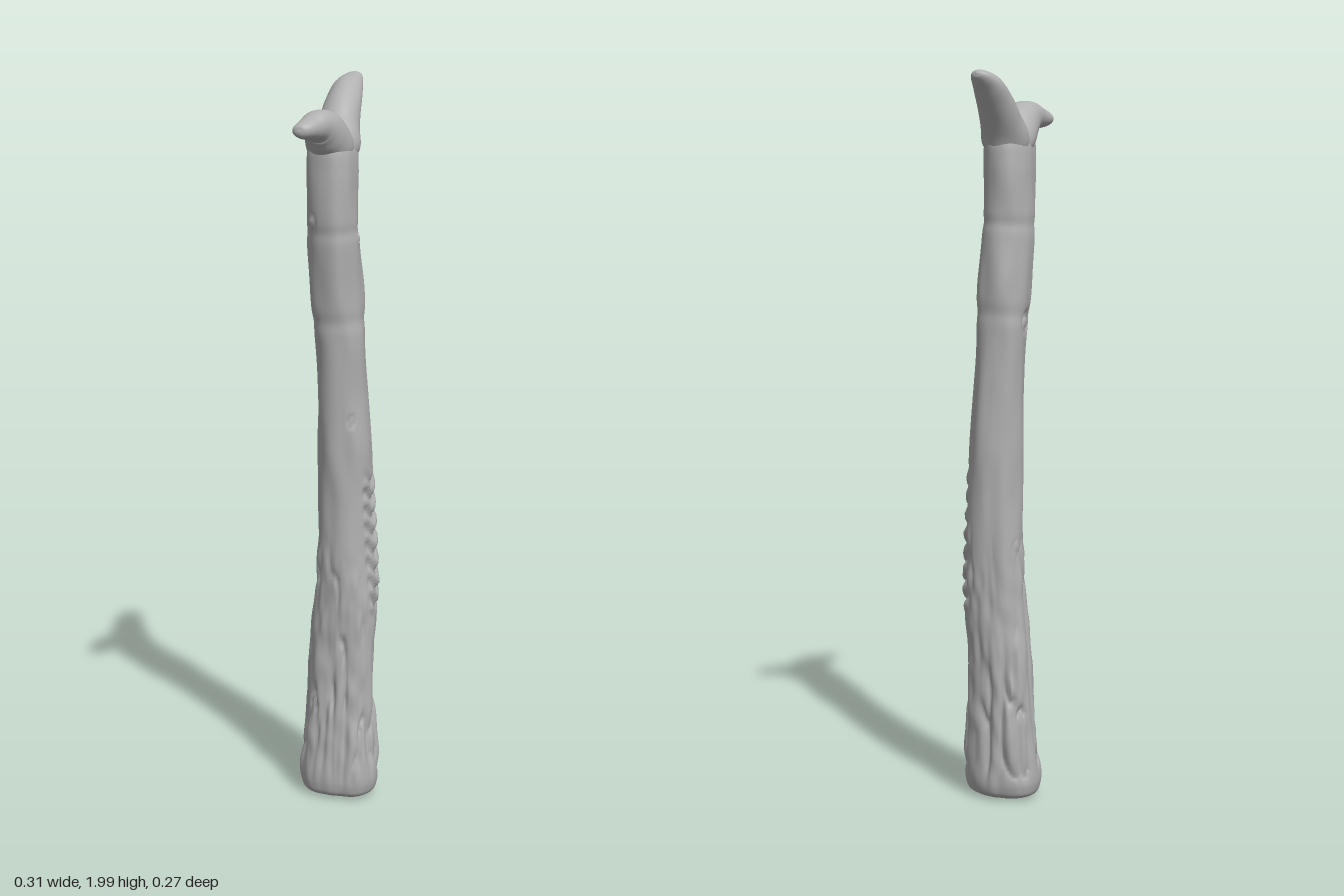
import * as THREE from 'three';

// Smooth repeatable value noise in 0..1
function hash(x, y, z) {
  const s = Math.sin(x * 127.1 + y * 311.7 + z * 74.7) * 43758.5453;
  return s - Math.floor(s);
}
function noise(x, y, z) {
  const [i, j, k] = [x, y, z].map(Math.floor);
  const [a, b, c] = [x - i, y - j, z - k].map((t) => t * t * (3 - 2 * t));
  const mix = THREE.MathUtils.lerp;
  const row = (dy, dz) => mix(hash(i, j + dy, k + dz), hash(i + 1, j + dy, k + dz), a);
  return mix(mix(row(0, 0), row(1, 0), b), mix(row(0, 1), row(1, 1), b), c);
}
const step = THREE.MathUtils.smoothstep;
const band = (y, a, b, soft) => step(y, a - soft, a + soft) * (1 - step(y, b - soft, b + soft));
const angleGap = (a, b) => Math.atan2(Math.sin(a - b), Math.cos(a - b));

// Loft through sections [x, y, z, radiusU, radiusV, diagonal stretch]
function loft(sections, side, rows, sides, relief) {
  const curve = (from) => new THREE.CatmullRomCurve3(
    sections.map((s) => new THREE.Vector3(s[from], s[from + 1], s[from + 2])), false, 'catmullrom', 0.5);
  const path = curve(0), size = curve(3);
  const positions = [], index = [];
  for (let i = 0; i <= rows; i++) {
    const c = path.getPoint(i / rows), r = size.getPoint(i / rows);
    const u = new THREE.Vector3().crossVectors(path.getTangent(i / rows), side).normalize();
    for (let j = 0; j < sides; j++) {
      const phi = (j / sides) * Math.PI * 2;
      const ru = Math.max(r.x, 0.0005), rv = Math.max(r.y, 0.0005);
      const k = 1 + r.z * Math.sin(2 * phi) + relief(phi, c.y) / 0.08;
      const p = c.clone().addScaledVector(u, Math.cos(phi) * ru * k).addScaledVector(side, Math.sin(phi) * rv * k);
      positions.push(p.x, p.y, p.z);
      if (i < rows) {
        const a = i * sides + j, b = i * sides + ((j + 1) % sides);
        index.push(a, a + sides, b, b, a + sides, b + sides);
      }
    }
  }
  const g = new THREE.BufferGeometry();
  g.setAttribute('position', new THREE.Float32BufferAttribute(positions, 3));
  g.setIndex(index);
  g.computeVertexNormals();
  return g;
}

// Knots: [angle, height, radius, ring depth, bump height]
const knots = [
  [-2.45, 1.33, 0.03, 0.008, 0],
  [3.0, 1.62, 0.022, 0.004, 0.005],
  [0.8, 1.57, 0.016, 0, 0.006],
  [-2.1, 0.72, 0.02, 0.004, 0.003],
  [1.75, 1.08, 0.014, 0.005, 0],
];

// Bark relief on the trunk, in units of length
function bark(phi, y) {
  const cx = Math.cos(phi), cz = Math.sin(phi);
  let d = (noise(cx * 2 + 9, y * 7, cz * 2 + 4) - 0.5) * 0.01;
  // long upright furrows, deepest low down
  const low = band(y, 0.09, 0.62 + 0.2 * noise(cx * 2, 3, cz * 2), 0.07);
  const n = noise(cx * 3.6 + 20, y * 5.5, cz * 3.6 + 20);
  const furrow = Math.pow(1 - Math.abs(2 * n - 1), 7);
  const patch = step(noise(cx * 1.7 + 5, y * 4 + 7, cz * 1.7 + 1), 0.3, 0.6);
  d -= low * furrow * patch * 0.014;
  d += low * (noise(cx * 5 + 3, y * 16, cz * 5 + 8) - 0.5) * 0.008;
  // ladder of bowed cuts
  const g = angleGap(phi, 0.72 + 0.1 * Math.sin(y * 9));
  const across = 1 - step(Math.abs(g), 0.42, 0.62);
  const wave = Math.cos((y + 0.018 * Math.cos(g * 5) + 0.012 * noise(g * 4, y * 9, 2)) * Math.PI * 2 / 0.05);
  d += across * band(y, 0.54, 0.92, 0.025) * (wave * 0.007 - 0.001);
  // knots
  for (const [a, h, r, ring, bump] of knots) {
    const dist = Math.hypot(angleGap(phi, a) * 0.075, y - h) / r;
    d += bump * Math.exp(-dist * dist * 2) - ring * Math.exp(-Math.pow((dist - 0.8) * 5, 2));
  }
  // faint growth rings near the top
  d -= 0.003 * (Math.exp(-Math.pow((y - 1.59) * 60, 2)) + Math.exp(-Math.pow((y - 1.35) * 50, 2)));
  return d;
}

export function createModel() {
  const model = new THREE.Group();
  const wood = new THREE.MeshStandardMaterial({ color: 0xb0b0b0 });
  wood.name = 'grey wood';
  const add = (name, geometry) => {
    const mesh = new THREE.Mesh(geometry, wood);
    mesh.name = name;
    model.add(mesh);
  };

  // Trunk with a rounded foot
  add('trunk', loft([
    [0.025, 0.008, 0.015, 0, 0, 0.1],
    [0.025, 0.014, 0.015, 0.072, 0.08, 0.14],
    [0.025, 0.045, 0.014, 0.093, 0.103, 0.14],
    [0.026, 0.12, 0.013, 0.094, 0.106, 0.14],
    [0.032, 0.25, 0.01, 0.085, 0.1, 0.12],
    [0.037, 0.4, 0.008, 0.079, 0.093, 0.1],
    [0.046, 0.6, 0.012, 0.077, 0.083, 0.06],
    [0.049, 0.8, 0.01, 0.074, 0.076, 0.03],
    [0.044, 1.0, 0.008, 0.072, 0.073, 0],
    [0.033, 1.2, 0.008, 0.068, 0.073, -0.03],
    [0.021, 1.4, 0.008, 0.074, 0.077, -0.06],
    [0.006, 1.6, 0.012, 0.07, 0.078, -0.08],
    [0.006, 1.75, 0.012, 0.073, 0.077, -0.08],
    [0.006, 1.82, 0.011, 0.068, 0.068, -0.12],
    [0.005, 1.865, 0.008, 0.035, 0.035, -0.15],
    [0.005, 1.872, 0.008, 0, 0, 0],
  ], new THREE.Vector3(0, 0, 1), 300, 96, bark));

  // Forked branches, leaning along one diagonal
  const side = new THREE.Vector3(1, 0, 1).normalize();
  const lumps = (phi, y) => (noise(Math.cos(phi) + 5, y * 16, Math.sin(phi) + 5) - 0.5) * 0.012;
  add('tallBranch', loft([
    [0.005, 1.74, 0.01, 0.04, 0.045, 0],
    [0.02, 1.81, 0, 0.06, 0.062, 0],
    [0.048, 1.865, -0.03, 0.05, 0.056, 0],
    [0.074, 1.915, -0.062, 0.042, 0.05, 0],
    [0.1, 1.952, -0.09, 0.033, 0.043, 0],
    [0.127, 1.975, -0.113, 0.02, 0.031, 0],
    [0.142, 1.985, -0.124, 0.011, 0.018, 0],
    [0.147, 1.988, -0.128, 0, 0, 0],
  ], side, 56, 36, lumps));
  add('shortBranch', loft([
    [0.012, 1.75, 0.005, 0.04, 0.045, 0],
    [-0.005, 1.81, 0.02, 0.058, 0.06, 0],
    [-0.034, 1.853, 0.05, 0.056, 0.056, 0],
    [-0.066, 1.872, 0.077, 0.044, 0.046, 0],
    [-0.1, 1.87, 0.097, 0.031, 0.035, 0],
    [-0.13, 1.866, 0.112, 0.021, 0.027, 0],
    [-0.143, 1.865, 0.118, 0.013, 0.016, 0],
    [-0.147, 1.865, 0.12, 0, 0, 0],
  ], side, 56, 36, lumps));
  return model;
}
